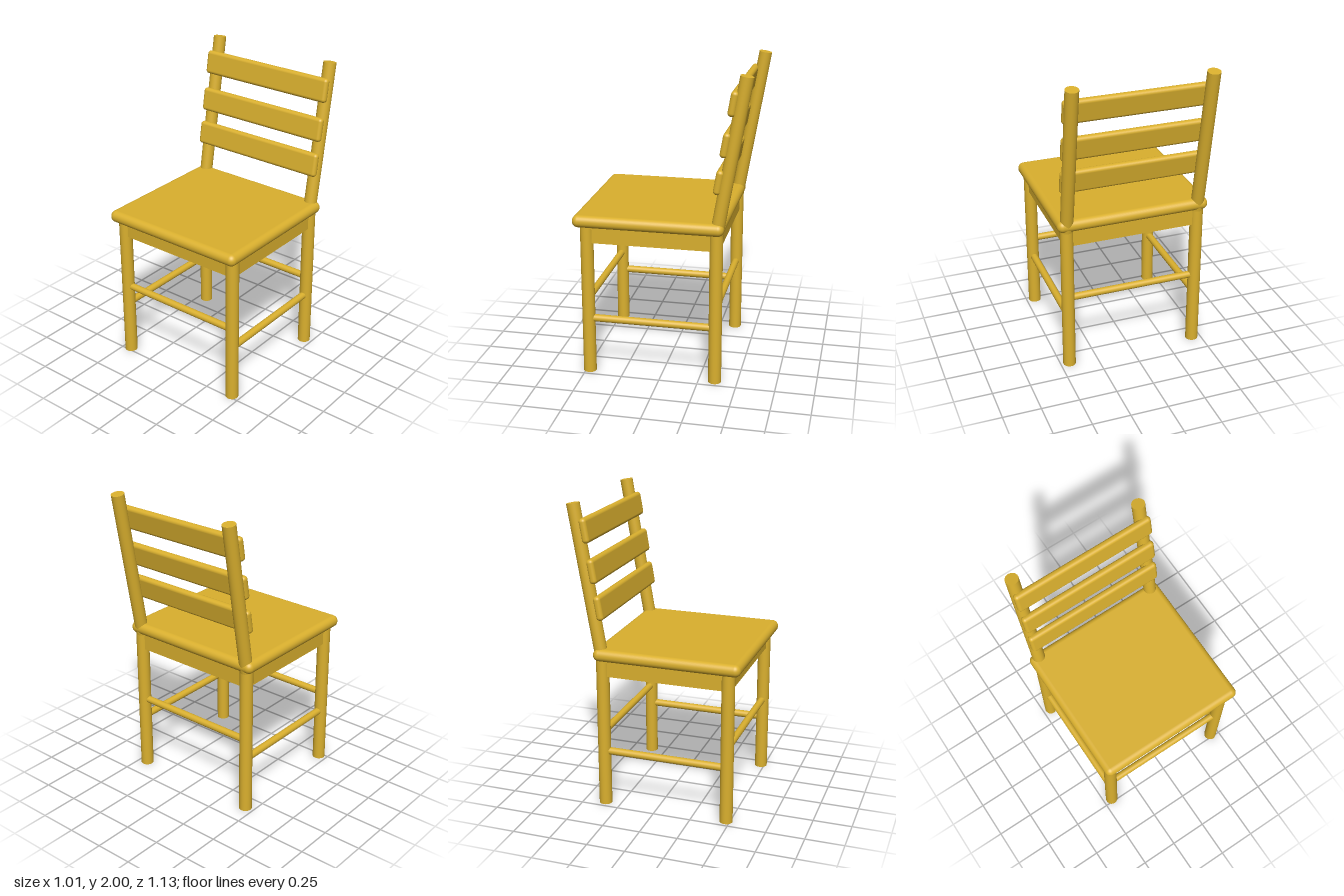
import * as THREE from 'three';
import { RoundedBoxGeometry } from 'three/addons/geometries/RoundedBoxGeometry.js';

export function createModel() {
  const chair = new THREE.Group();
  chair.name = 'chair';
  const wood = new THREE.MeshStandardMaterial({ color: 0xdab02e });
  wood.name = 'golden wood';

  const legX = 0.44, frontZ = 0.475, backZ = -0.355, legRadius = 0.042;

  function add(name, geometry, x = 0, y = 0, z = 0) {
    const mesh = new THREE.Mesh(geometry, wood);
    mesh.name = name;
    mesh.position.set(x, y, z);
    chair.add(mesh);
    return mesh;
  }

  // Round bar running from point a to point b
  function bar(name, a, b, radius) {
    const from = new THREE.Vector3(...a), to = new THREE.Vector3(...b);
    const dir = to.clone().sub(from);
    const mid = from.add(to).multiplyScalar(0.5);
    const mesh = add(name, new THREE.CylinderGeometry(radius, radius, dir.length(), 32), mid.x, mid.y, mid.z);
    mesh.quaternion.setFromUnitVectors(new THREE.Vector3(0, 1, 0), dir.normalize());
  }

  // Seat with fully rounded edges
  const midZ = (frontZ + backZ) / 2;
  add('seat', new RoundedBoxGeometry(1.01, 0.08, 0.965, 6, 0.039), 0, 1.04, 0.0775);

  // Legs, leaning back posts, side aprons and side stretchers
  const topZ = -0.525;
  for (const [side, s] of [['left', 1], ['right', -1]]) {
    const x = s * legX;
    bar(side + 'FrontLeg', [x, 0, frontZ], [x, 1.02, frontZ], legRadius);
    bar(side + 'BackLeg', [x, 0, backZ], [x, 1.02, backZ], legRadius);
    bar(side + 'BackPost', [x, 1.0, backZ], [x, 1.993, topZ], legRadius);
    add(side + 'Apron', new THREE.BoxGeometry(0.04, 0.12, frontZ - backZ), x, 0.955, midZ);
    bar(side + 'Stretcher', [x, 0.375, backZ], [x, 0.375, frontZ], 0.024);
  }

  // Front and back aprons and stretchers
  for (const [end, z] of [['front', frontZ], ['back', backZ]]) {
    add(end + 'Apron', new THREE.BoxGeometry(legX * 2, 0.12, 0.04), 0, 0.955, z);
    bar(end + 'Stretcher', [-legX, 0.51, z], [legX, 0.51, z], 0.023);
  }

  // Three rounded slats following the lean of the posts
  const lean = Math.atan2(topZ - backZ, 0.993);
  for (const [name, y, z] of [['lowerSlat', 1.342, -0.366], ['middleSlat', 1.575, -0.404], ['upperSlat', 1.828, -0.447]]) {
    add(name, new RoundedBoxGeometry(0.96, 0.156, 0.048, 5, 0.022), 0, y, z).rotation.x = lean;
  }

  return chair;
}
